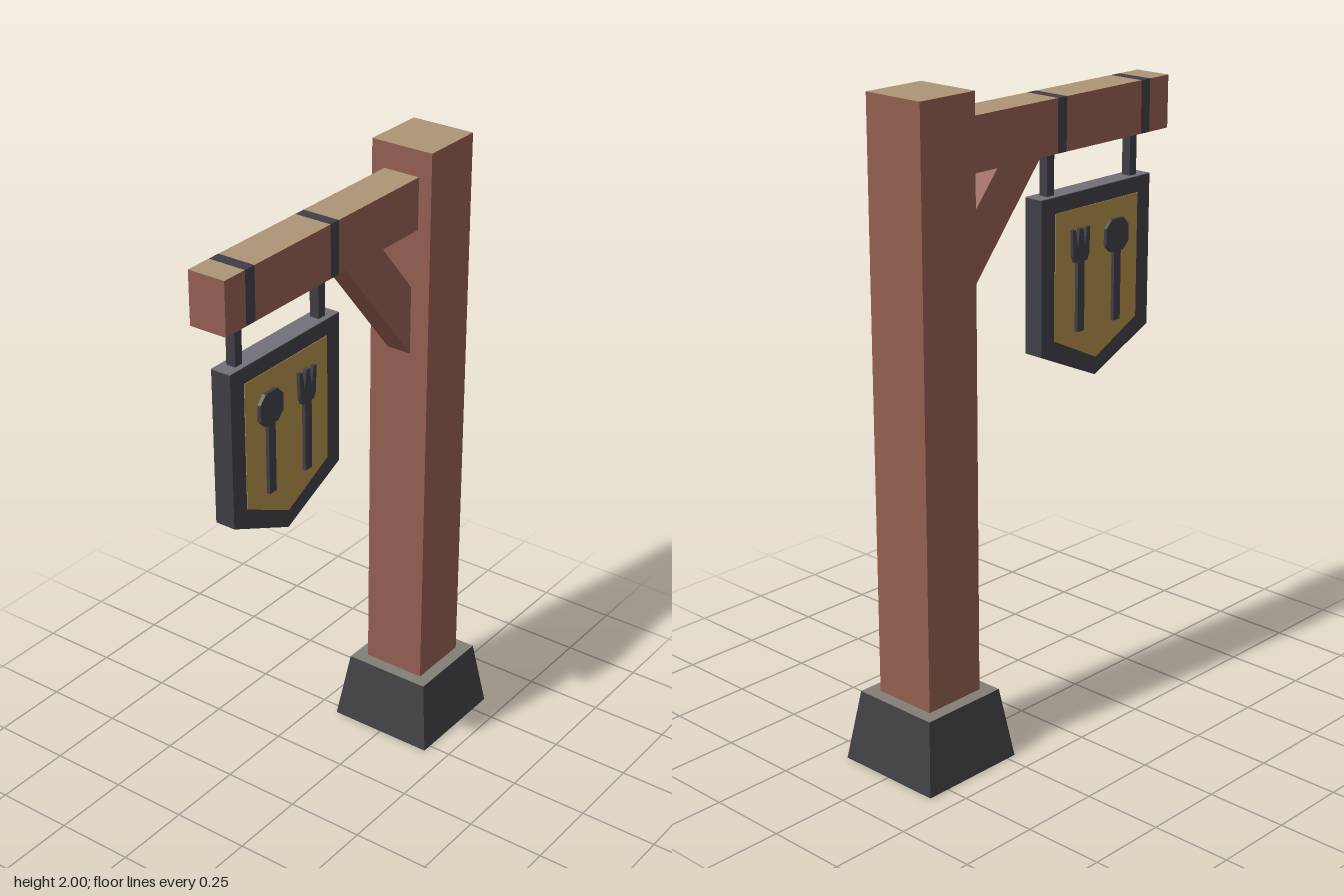
import * as THREE from 'three';

const mat = (name, color) => {
  const m = new THREE.MeshStandardMaterial({ color });
  m.name = name;
  return m;
};

export function createModel() {
  const wood = mat('wood', 0x925e4f);
  const cutWood = mat('pale wood', 0xac9476);
  const iron = mat('dark iron', 0x3f3e45);
  const edge = mat('worn iron edge', 0x716f79);
  const gold = mat('gold panel', 0xad8b47);
  const stone = mat('dark stone', 0x403f43);
  const stoneTop = mat('pale stone', 0x827e75);

  const model = new THREE.Group();
  model.name = 'hangingSign';

  const add = (name, geometry, material, parent = model) => {
    const mesh = new THREE.Mesh(geometry, material);
    mesh.name = name;
    parent.add(mesh);
    return mesh;
  };
  // Box given by its limits; the top face may have its own colour
  const box = (name, [x0, x1], [y0, y1], [z0, z1], side, top = side, parent = model) => {
    const g = new THREE.BoxGeometry(x1 - x0, y1 - y0, z1 - z0);
    g.translate((x0 + x1) / 2, (y0 + y1) / 2, (z0 + z1) / 2);
    return add(name, g, top === side ? side : [side, side, top, side, side, side], parent);
  };
  // Flat outline extruded evenly about z = 0
  const slab = (name, points, depth, material, parent = model) => {
    const shape = new THREE.Shape(points.map(([x, y]) => new THREE.Vector2(x, y)));
    const g = new THREE.ExtrudeGeometry(shape, { depth, bevelEnabled: false });
    g.translate(0, 0, -depth / 2);
    return add(name, g, material, parent);
  };

  // Tapered stone foot
  const foot = new THREE.BoxGeometry(0.352, 0.22, 0.352);
  const p = foot.attributes.position;
  for (let i = 0; i < p.count; i++) {
    if (p.getY(i) > 0) p.setXYZ(i, p.getX(i) * 0.815, p.getY(i), p.getZ(i) * 0.815);
  }
  foot.computeVertexNormals();
  foot.translate(0.395, 0.11, 0);
  add('foot', foot, [stone, stone, stoneTop, stone, stone, stone]);

  // Post
  box('post', [0.292, 0.498], [0.22, 2], [-0.103, 0.103], wood, cutWood);

  // Beam, with flush iron bands between its wooden lengths
  const beam = new THREE.Group();
  beam.name = 'beam';
  model.add(beam);
  const cuts = [-0.575, -0.491, -0.452, -0.124, -0.087, 0.292];
  for (let i = 0; i < cuts.length - 1; i++) {
    const band = i % 2 === 1;
    box(band ? 'beamBand' : 'beamLength', [cuts[i], cuts[i + 1]], [1.76, 1.92], [-0.06, 0.06],
      band ? iron : wood, band ? iron : cutWood, beam);
  }

  // Diagonal brace
  slab('brace', [[-0.04, 1.76], [0.292, 1.36], [0.292, 1.575], [0.135, 1.76]], 0.08, wood);

  // Hangers
  for (const x of [-0.472, -0.106]) {
    box('hanger', [x - 0.015, x + 0.015], [1.62, 1.765], [-0.015, 0.015], iron);
  }

  // Pointed sign board with a pale top edge and a gold panel on both faces
  const sign = new THREE.Group();
  sign.name = 'sign';
  model.add(sign);
  const pointed = (half, top, shoulder, tip) => [
    [-0.29 - half, top], [-0.29 - half, shoulder], [-0.29, tip],
    [-0.29 + half, shoulder], [-0.29 + half, top],
  ];
  slab('signFrame', pointed(0.24, 1.623, 1.151, 1.042), 0.064, iron, sign);
  box('signTopEdge', [-0.53, -0.05], [1.623, 1.625], [-0.032, 0.032], edge, edge, sign);
  slab('signPanel', pointed(0.183, 1.575, 1.188, 1.098), 0.068, gold, sign);

  // Spoon and fork, standing proud of both faces
  const depth = 0.09;
  slab('spoon', [
    [-0.387, 1.2], [-0.357, 1.2], [-0.357, 1.415], [-0.345, 1.415], [-0.321, 1.438],
    [-0.321, 1.49], [-0.345, 1.515], [-0.397, 1.515], [-0.421, 1.49], [-0.421, 1.438],
    [-0.397, 1.415], [-0.387, 1.415],
  ], depth, iron, sign);
  const forkSide = [
    [0.015, 1.2], [0.015, 1.415], [0.026, 1.415], [0.035, 1.435], [0.038, 1.515],
    [0.025, 1.515], [0.016, 1.46], [0.008, 1.515],
  ];
  const fork = [...forkSide, ...forkSide.map(([x, y]) => [-x, y]).reverse()];
  slab('fork', fork.map(([x, y]) => [x - 0.209, y]), depth, iron, sign);

  return model;
}
